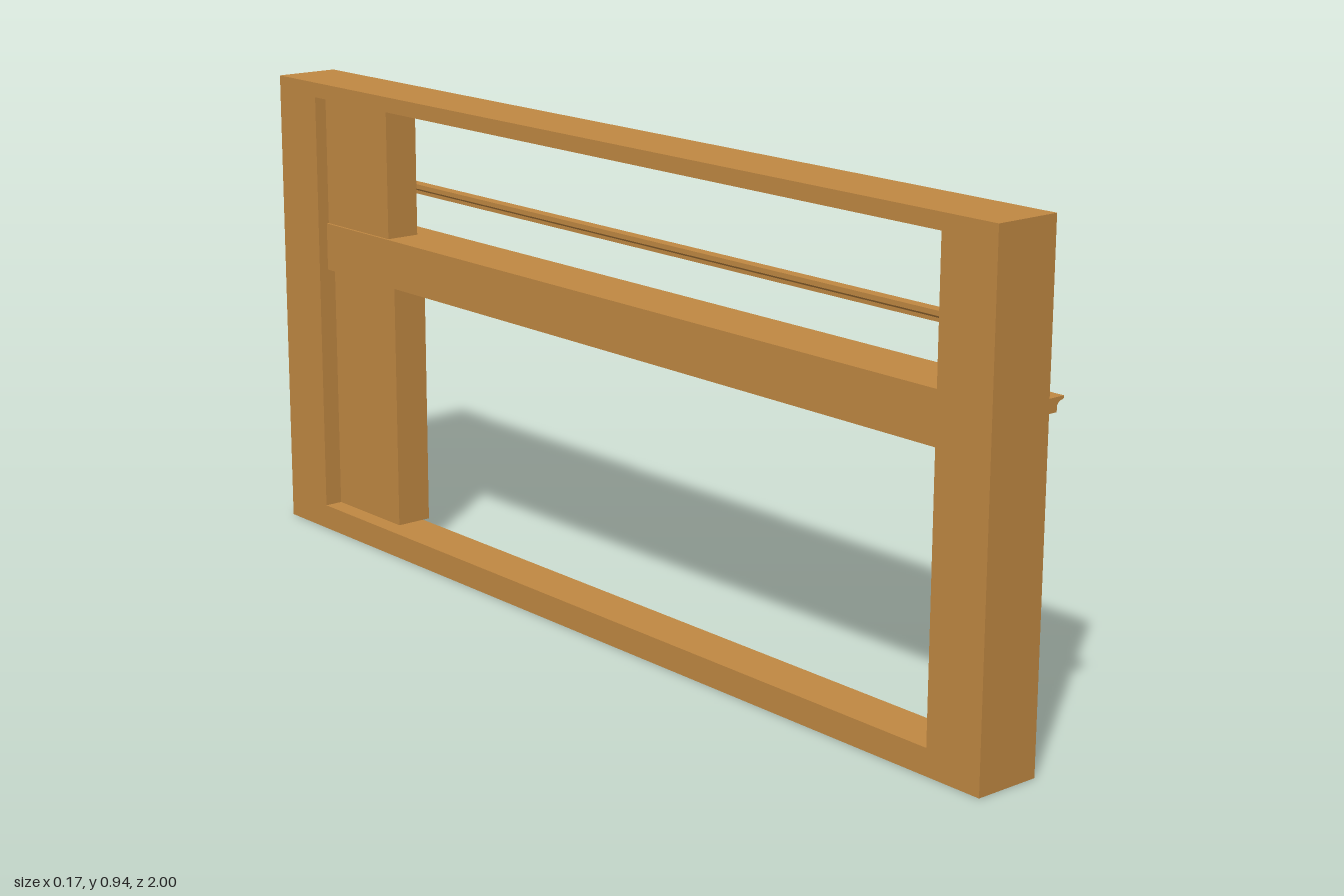
import * as THREE from 'three';

export function createModel() {
  const model = new THREE.Group();
  const wood = new THREE.MeshStandardMaterial({ color: 0xc08842 });
  wood.name = 'wood';
  const brass = new THREE.MeshStandardMaterial({ color: 0xa68a32 });
  brass.name = 'brass';

  const add = (name, geometry, material = wood, parent = model) => {
    const mesh = new THREE.Mesh(geometry, material);
    mesh.name = name;
    parent.add(mesh);
    return mesh;
  };
  // Box given by its limits on each axis
  const box = (name, [x0, x1], [y0, y1], [z0, z1], parent = model) => {
    const g = new THREE.BoxGeometry(x1 - x0, y1 - y0, z1 - z0);
    g.translate((x0 + x1) / 2, (y0 + y1) / 2, (z0 + z1) / 2);
    return add(name, g, wood, parent);
  };
  // Side profile in x, y swept along z
  const sweep = (name, points, z0, z1) => {
    const shape = new THREE.Shape(points.map(p => new THREE.Vector2(...p)));
    const g = new THREE.ExtrudeGeometry(shape, { depth: z1 - z0, bevelEnabled: false });
    g.translate(0, 0, z0);
    return add(name, g);
  };

  const back = -0.083, front = 0.049;
  const inner = [-0.872, 0.88];

  // Outer frame
  box('frontPost', [back, front], [0, 0.945], [inner[1], 1]);
  box('rearPost', [back, front], [0, 0.945], [-1, inner[0]]);
  box('topBeam', [back, front], [0.915, 0.945], inner);
  sweep('sill', [[back, 0], [0.024, 0], [0.024, 0.04], [0.014, 0.05], [back, 0.05]], ...inner);

  // Counter beam with a stepped lower edge
  sweep('counterBeam', [[-0.063, 0.555], [0.041, 0.555], [0.041, 0.57], [0.047, 0.57],
    [0.047, 0.652], [-0.063, 0.652]], ...inner);

  // Cornice moulding across the front
  const cove = [];
  for (let i = 0; i <= 6; i++) {
    const a = (i / 6) * Math.PI / 2;
    cove.push([0.067 + 0.013 * (1 - Math.cos(a)), 0.628 + 0.011 * Math.sin(a)]);
  }
  sweep('cornice', [[front - 0.004, 0.62], [0.067, 0.62], ...cove, [0.083, 0.641],
    [0.083, 0.645], [front - 0.004, 0.645]], -1, 1);

  // Foot rod with its end brackets
  const rod = new THREE.CylinderGeometry(0.005, 0.005, 1.83, 12);
  rod.rotateX(Math.PI / 2).translate(0.058, 0.589, 0.005);
  add('rod', rod, brass);
  for (const z of [-0.893, 0.9]) {
    const bracket = new THREE.CylinderGeometry(0.0065, 0.0065, 0.024, 12);
    bracket.rotateX(Math.PI / 2).translate(0.0575, 0.589, z);
    add('rodBracket', bracket, brass);
  }

  // Upper rail and its turned baluster
  sweep('rail', [[0.018, 0.735], [0.032, 0.735], [0.032, 0.742], [0.036, 0.746], [0.036, 0.755],
    [0.014, 0.755], [0.014, 0.746], [0.018, 0.742]], ...inner);
  const turned = [[0.007, 0], [0.007, 0.012], [0.004, 0.016], [0.006, 0.03], [0.003, 0.044],
    [0.005, 0.054], [0.003, 0.06], [0.006, 0.07], [0.006, 0.084]];
  const baluster = new THREE.LatheGeometry(turned.map(p => new THREE.Vector2(...p)), 12);
  baluster.translate(0.025, 0.652, 0.86);
  add('baluster', baluster);

  // Open shelf cabinet: back, cheeks, solid bands and thin shelves
  const cabinet = (name, x0, x1, y, bands, shelves) => {
    const group = new THREE.Group();
    group.name = name;
    model.add(group);
    const z = [-0.872, -0.66], inside = [-0.862, -0.67];
    box('backPanel', [x0, x0 + 0.008], y, z, group);
    box('cheek', [x0 + 0.008, x1], y, [inside[1], z[1]], group);
    box('cheek', [x0 + 0.008, x1], y, [z[0], inside[0]], group);
    for (const band of bands) box('band', [x0 + 0.008, x1], band, inside, group);
    for (const s of shelves) box('shelf', [x0 + 0.008, x1 - 0.004], [s - 0.003, s + 0.003], inside, group);
    return group;
  };
  cabinet('upperCabinet', -0.058, 0.013, [0.652, 0.915],
    [[0.652, 0.675], [0.765, 0.779], [0.908, 0.915]], [0.845]);
  const lower = cabinet('lowerCabinet', -0.046, 0.029, [0.05, 0.555],
    [[0.05, 0.066], [0.142, 0.16], [0.547, 0.555]], [0.22, 0.286, 0.354, 0.422, 0.49]);

  // Recessed panel below the shelves
  box('lowerPanel', [-0.038, 0.023], [0.066, 0.142], [-0.862, -0.67], lower);
  for (const z of [-0.862, -0.685]) box('panelStile', [0.023, 0.029], [0.066, 0.142], [z, z + 0.015], lower);

  return model;
}
